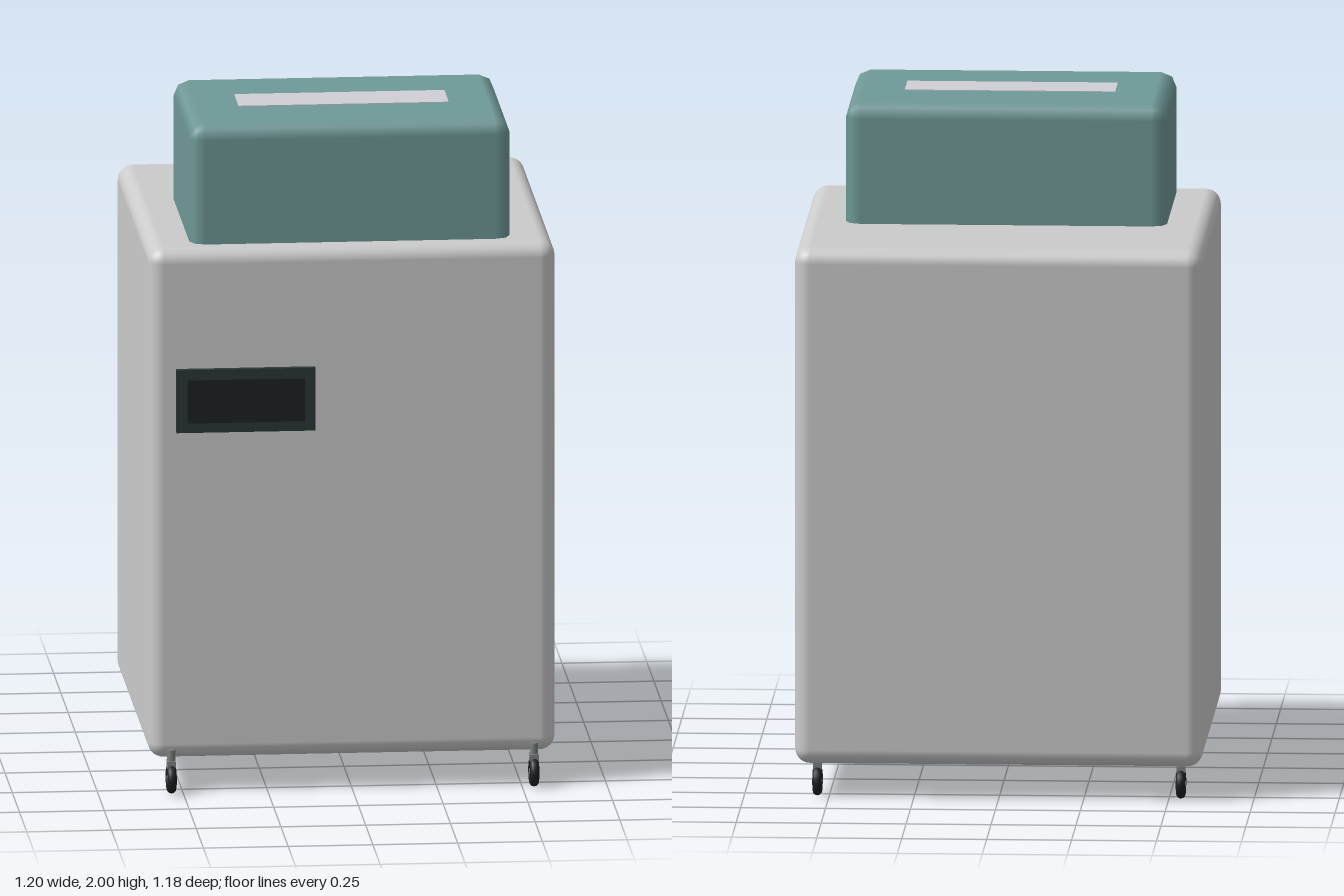
import * as THREE from 'three';
import { RoundedBoxGeometry } from 'three/addons/geometries/RoundedBoxGeometry.js';

const mat = (color) => new THREE.MeshStandardMaterial({ color });

export function createModel() {
  const model = new THREE.Group();
  model.name = 'rollingCabinet';

  const grey = mat(0xcccccc);
  const teal = mat(0x6f9997);
  const frameMat = mat(0x2c3836);
  const dark = mat(0x1c2122);
  const metal = mat(0x7c8280);
  const labelMat = mat(0xcfcfd6);

  const add = (parent, name, geometry, material, x, y, z) => {
    const mesh = new THREE.Mesh(geometry, material);
    mesh.name = name;
    mesh.position.set(x, y, z);
    parent.add(mesh);
    return mesh;
  };

  // Cabinet with softly rounded edges
  add(model, 'cabinet', new RoundedBoxGeometry(1.2, 1.54, 1.13, 4, 0.045), grey, 0, 0.87, -0.025);

  // Upper box, its base sunk into the cabinet top
  add(model, 'upperBox', new RoundedBoxGeometry(0.945, 0.448, 0.63, 1, 0.045), teal, 0, 1.774, 0.165);
  add(model, 'topLabel', new THREE.BoxGeometry(0.62, 0.006, 0.15), labelMat, 0, 1.997, 0.165);

  // Display on the front
  add(model, 'displayFrame', new THREE.BoxGeometry(0.41, 0.19, 0.03), frameMat, -0.315, 1.185, 0.543);
  add(model, 'displayScreen', new THREE.BoxGeometry(0.345, 0.13, 0.03), dark, -0.315, 1.185, 0.549);

  // Casters: tyre, hub, fork and stem
  const tyre = new THREE.TorusGeometry(0.031, 0.014, 12, 28).rotateY(Math.PI / 2);
  const hub = new THREE.CylinderGeometry(0.024, 0.024, 0.018, 24).rotateZ(Math.PI / 2);
  const axle = new THREE.CylinderGeometry(0.008, 0.008, 0.028, 12).rotateZ(Math.PI / 2);
  const fork = new THREE.BoxGeometry(0.026, 0.025, 0.036);
  const stem = new THREE.CylinderGeometry(0.012, 0.012, 0.045, 16);
  for (const x of [-0.535, 0.535]) {
    for (const z of [0.546, -0.526]) {
      const caster = new THREE.Group();
      caster.name = 'caster';
      caster.position.set(x, 0, z);
      add(caster, 'tyre', tyre, dark, 0, 0.045, 0);
      add(caster, 'hub', hub, metal, 0, 0.045, 0);
      add(caster, 'axle', axle, metal, 0, 0.045, 0);
      add(caster, 'fork', fork, metal, 0, 0.086, 0);
      add(caster, 'stem', stem, metal, 0, 0.109, 0);
      model.add(caster);
    }
  }
  return model;
}
